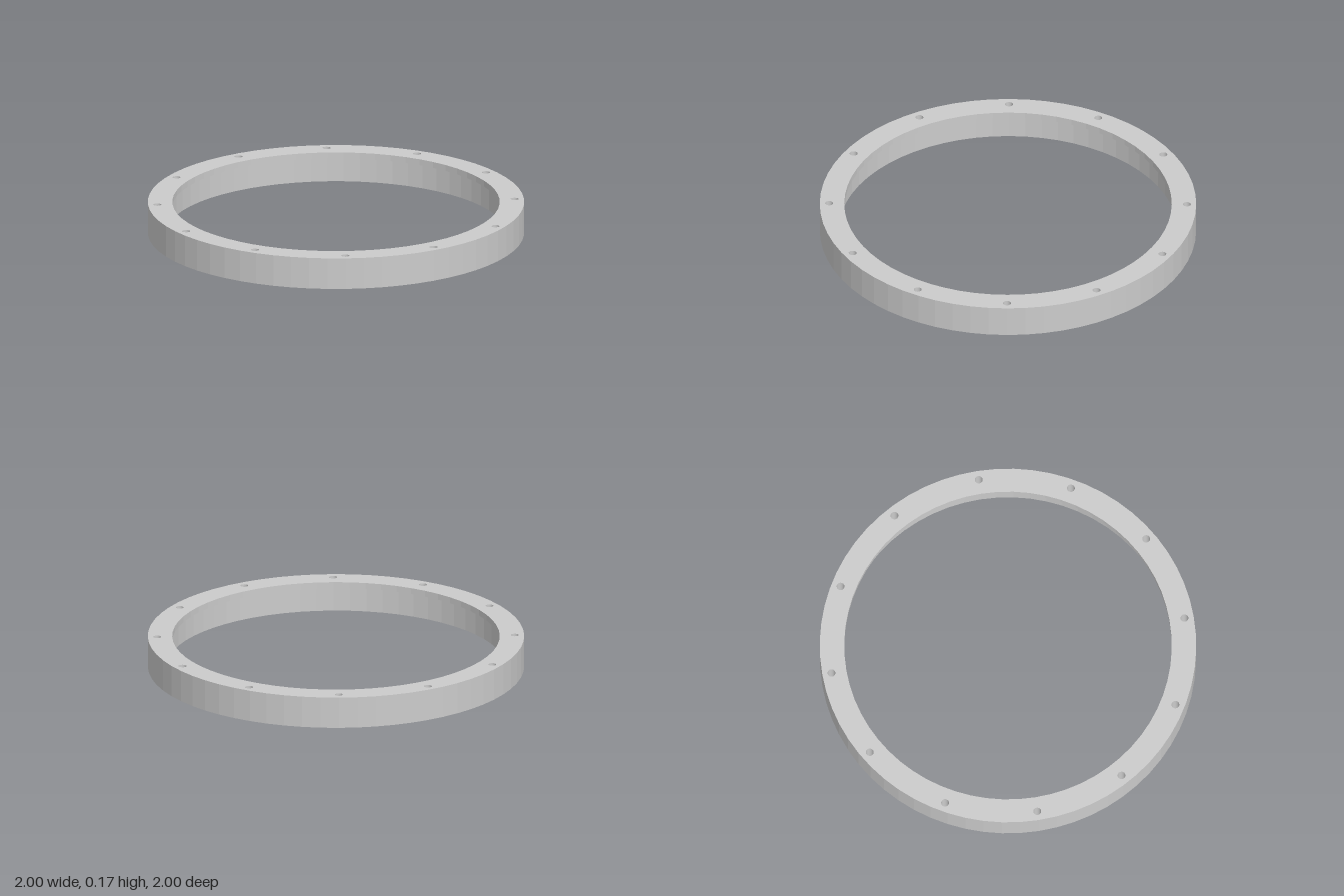
import * as THREE from 'three';

const OUTER = 1, LIP = 0.87, BORE = 0.9, HEIGHT = 0.17, LIP_BASE = 0.137;
const BOLT_CIRCLE = 0.95, HOLE = 0.021, HOLES = 12, SIDES = 64, HOLE_SIDES = 20;

// points of a regular polygon approximating a circle
function circle(radius, sides, cx = 0, cy = 0) {
  return Array.from({ length: sides }, (_, i) => {
    const a = (i / sides) * Math.PI * 2;
    return new THREE.Vector2(cx + radius * Math.cos(a), cy + radius * Math.sin(a));
  });
}

export function createModel() {
  const group = new THREE.Group();
  group.name = 'flangeRing';
  const material = new THREE.MeshStandardMaterial({ color: 0xcccccc, flatShading: true });
  const holeMaterial = new THREE.MeshStandardMaterial({ color: 0xcccccc, side: THREE.BackSide });

  const add = (name, geometry, mat = material) => {
    const mesh = new THREE.Mesh(geometry, mat);
    mesh.name = name;
    group.add(mesh);
    return mesh;
  };
  const lathe = (points) =>
    new THREE.LatheGeometry(points.map(([r, y]) => new THREE.Vector2(r, y)), SIDES);

  // outer wall, and stepped bore with a thin lip at the top
  add('outerWall', lathe([[OUTER, 0], [OUTER, HEIGHT]]));
  add('steppedBore', lathe([[LIP, HEIGHT], [LIP, LIP_BASE], [BORE, LIP_BASE], [BORE, 0]]));

  // bolt hole centres
  const centres = circle(BOLT_CIRCLE, HOLES);

  // flat annular face pierced by the bolt holes
  const face = (innerRadius) => {
    const shape = new THREE.Shape(circle(OUTER, SIDES));
    shape.holes.push(new THREE.Path(circle(innerRadius, SIDES)));
    for (const c of centres) shape.holes.push(new THREE.Path(circle(HOLE, HOLE_SIDES, c.x, c.y)));
    return new THREE.ShapeGeometry(shape);
  };
  add('topFace', face(LIP).rotateX(-Math.PI / 2).translate(0, HEIGHT, 0));
  add('bottomFace', face(BORE).rotateX(Math.PI / 2));

  // walls of the through holes
  const holeWall = new THREE.CylinderGeometry(HOLE, HOLE, HEIGHT, HOLE_SIDES, 1, true);
  for (const c of centres) add('boltHole', holeWall, holeMaterial).position.set(c.x, HEIGHT / 2, c.y);

  return group;
}
